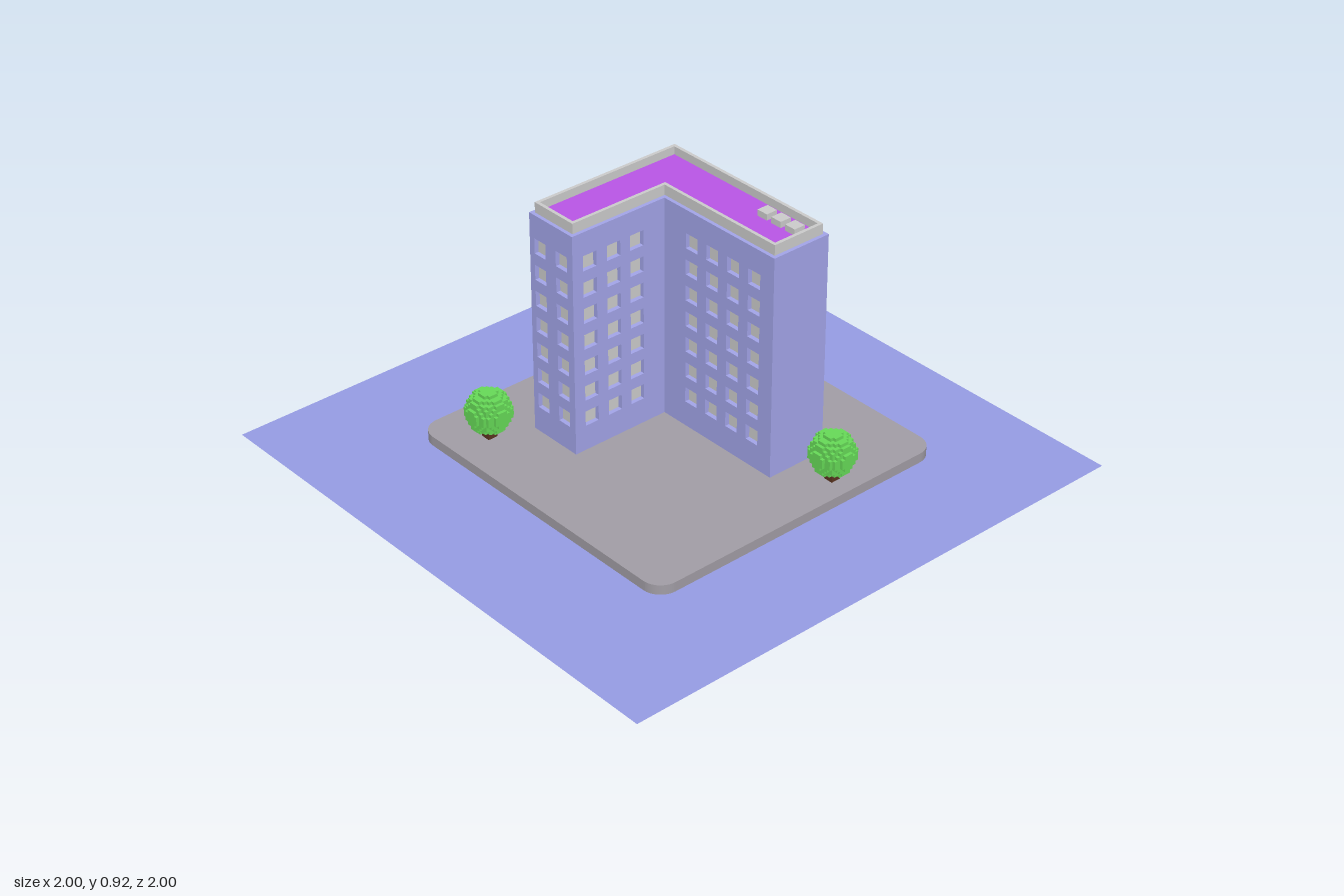
import * as THREE from 'three';
import { mergeGeometries } from 'three/addons/utils/BufferGeometryUtils.js';

const mat = (color) => new THREE.MeshStandardMaterial({ color });
const BLUE = mat(0xa2a4e8), GREY = mat(0xcccccc), PAVING = mat(0xa19da5);
const PURPLE = mat(0xb955e6), GREEN = mat(0x66d957), BARK = mat(0x5a3420);

const BASE = 0.07, TOP = 0.88, RECESS = 0.02, WIN = 0.055;

function add(parent, name, geometry, material, x = 0, y = 0, z = 0) {
  const mesh = new THREE.Mesh(geometry, material);
  mesh.name = name;
  mesh.position.set(x, y, z);
  parent.add(mesh);
  return mesh;
}

// Corner points of the L-shaped plan, as (x, -z)
function planPoints(x0, x1, z0, z1, innerX, innerZ) {
  return [[x0, z0], [x0, innerZ], [innerX, innerZ], [innerX, z1], [x1, z1], [x1, z0]]
    .map(([x, z]) => new THREE.Vector2(x, -z));
}

// The plan drawn in from the outer walls by an inset
const insetPlan = (i) => planPoints(-0.31 + i, 0.3 - i, -0.31 + i, 0.41 - i, 0.07 + i, -0.1 - i);

// Extrudes a plan shape upwards
function upright(shape, depth) {
  return new THREE.ExtrudeGeometry(shape, { depth, bevelEnabled: false, curveSegments: 8 }).rotateX(-Math.PI / 2);
}

function rectangle(target, x, y, w, h) {
  target.moveTo(x, y).lineTo(x + w, y).lineTo(x + w, y + h).lineTo(x, y + h).closePath();
  return target;
}

// A wall facing with seven rows of recessed windows
function windowWall(name, width, columns) {
  const wall = new THREE.Group();
  wall.name = name;
  const shape = rectangle(new THREE.Shape(), 0, 0, width, TOP - BASE);
  const panes = [];
  for (const cx of columns) {
    for (let row = 0; row < 7; row++) {
      const cy = 0.19 - BASE + row * 0.0963;
      shape.holes.push(rectangle(new THREE.Path(), cx - WIN / 2, cy - WIN / 2, WIN, WIN));
      panes.push(new THREE.BoxGeometry(WIN, WIN, 0.004).translate(cx, cy, 0.002));
    }
  }
  add(wall, 'facing', new THREE.ExtrudeGeometry(shape, { depth: RECESS, bevelEnabled: false }), BLUE);
  add(wall, 'windowPanes', mergeGeometries(panes), GREY);
  return wall;
}

// A ball of small cubes, keeping only the exposed faces
function blockBall(radius, cells) {
  const size = (2 * radius) / cells, half = (cells - 1) / 2;
  const filled = (x, y, z) => x * x + y * y + z * z <= (cells / 2) ** 2;
  const directions = [[1, 0, 0], [-1, 0, 0], [0, 1, 0], [0, -1, 0], [0, 0, 1], [0, 0, -1]];
  const templates = directions.map((d) => {
    const turn = new THREE.Quaternion().setFromUnitVectors(new THREE.Vector3(0, 0, 1), new THREE.Vector3(...d));
    return new THREE.PlaneGeometry(size, size).applyQuaternion(turn);
  });
  const faces = [];
  for (let x = -half; x <= half; x++)
    for (let y = -half; y <= half; y++)
      for (let z = -half; z <= half; z++) {
        if (!filled(x, y, z)) continue;
        directions.forEach(([dx, dy, dz], i) => {
          if (filled(x + dx, y + dy, z + dz)) return;
          faces.push(templates[i].clone().translate(
            (x + dx / 2) * size, (y + dy / 2) * size, (z + dz / 2) * size));
        });
      }
  return mergeGeometries(faces);
}

export function createModel() {
  const model = new THREE.Group();
  model.name = 'apartmentBlock';

  // Ground sheet and rounded paving slab
  const groundMat = mat(0x969ce4);
  groundMat.side = THREE.DoubleSide;
  add(model, 'groundSheet', new THREE.PlaneGeometry(2, 2).rotateX(-Math.PI / 2), groundMat);
  const x0 = -0.595, x1 = 0.6, y0 = -0.63, y1 = 0.56, r = 0.07;
  const slab = new THREE.Shape();
  slab.absarc(x1 - r, y0 + r, r, -Math.PI / 2, 0);
  slab.absarc(x1 - r, y1 - r, r, 0, Math.PI / 2);
  slab.absarc(x0 + r, y1 - r, r, Math.PI / 2, Math.PI);
  slab.absarc(x0 + r, y0 + r, r, Math.PI, Math.PI * 1.5);
  add(model, 'pavingSlab', upright(slab, 0.035), PAVING, 0, 0.035, 0);

  // Building core, set back where the window walls cover it
  const building = new THREE.Group();
  building.name = 'building';
  model.add(building);
  const core = planPoints(-0.31 + RECESS, 0.3, -0.31, 0.41, 0.07 + RECESS, -0.1 - RECESS);
  add(building, 'core', upright(new THREE.Shape(core), TOP - BASE), BLUE, 0, BASE, 0);

  // Window walls: front of the rear wing, its end, and the courtyard side
  const front = windowWall('frontWindowWall', 0.4, [0.07, 0.168, 0.264]);
  front.position.set(-0.31, BASE, -0.1 - RECESS);
  const end = windowWall('endWindowWall', 0.19, [0.05, 0.155]);
  end.position.set(-0.31 + RECESS, BASE, -0.31);
  const court = windowWall('courtyardWindowWall', 0.51, [0.13, 0.227, 0.324, 0.421]);
  court.position.set(0.07 + RECESS, BASE, -0.1);
  end.rotation.y = court.rotation.y = -Math.PI / 2;
  building.add(front, end, court);

  // Parapet, coloured roof and roof vents
  const parapet = new THREE.Shape(insetPlan(0.013));
  parapet.holes.push(new THREE.Path(insetPlan(0.025)));
  add(building, 'parapet', upright(parapet, 0.037), GREY, 0, TOP, 0);
  add(building, 'roof', upright(new THREE.Shape(insetPlan(0.025)), 0.008), PURPLE, 0, TOP, 0);
  for (const z of [0.21, 0.273, 0.336])
    add(building, 'roofVent', new THREE.BoxGeometry(0.043, 0.022, 0.043), GREY, 0.225, TOP + 0.019, z);

  // Trees
  const crown = blockBall(0.074, 13);
  const trunk = new THREE.BoxGeometry(0.036, 0.05, 0.036);
  for (const [x, z] of [[-0.452, -0.37], [0.217, 0.543]]) {
    const tree = new THREE.Group();
    tree.name = 'tree';
    tree.position.set(x, BASE, z);
    add(tree, 'trunk', trunk, BARK, 0, 0.025, 0);
    add(tree, 'crown', crown, GREEN, 0, 0.098, 0);
    model.add(tree);
  }
  return model;
}
